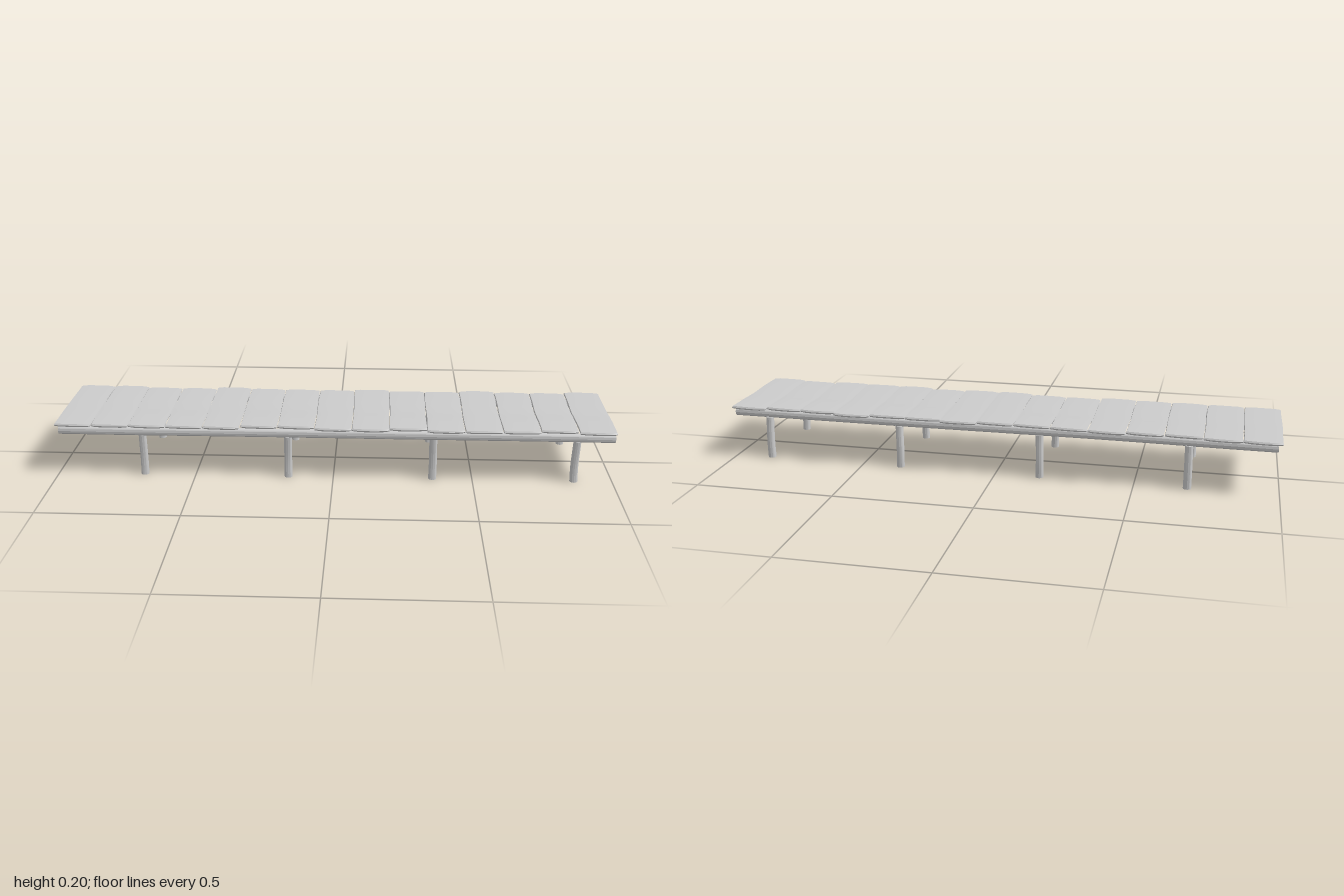
import * as THREE from 'three';
import { toCreasedNormals } from 'three/addons/utils/BufferGeometryUtils.js';

const material = new THREE.MeshStandardMaterial({ color: 0xcccccc });

// Small seeded generator for the hand-hewn irregularities, returns -1..1
function seeded(seed) {
  let s = seed;
  return () => {
    s = (s * 16807) % 2147483647;
    return (s / 2147483647) * 2 - 1;
  };
}

function warp(geometry, rule) {
  const p = geometry.attributes.position;
  const v = new THREE.Vector3();
  for (let i = 0; i < p.count; i++) {
    v.fromBufferAttribute(p, i);
    rule(v);
    p.setXYZ(i, v.x, v.y, v.z);
  }
  return toCreasedNormals(geometry, 0.7);
}

function addMesh(parent, name, geometry) {
  const mesh = new THREE.Mesh(geometry, material);
  mesh.name = name;
  parent.add(mesh);
  return mesh;
}

// Deck board: eased edges, softly rounded ends, worn dip in the middle
function plankGeometry(width, back, front, rand) {
  const thick = 0.011;
  const sag = 0.0035 + 0.002 * rand();
  const lift = 0.0006 * rand();
  const phase = 3 * rand();
  const geometry = new THREE.BoxGeometry(width, thick, 1, 6, 2, 8);
  return warp(geometry, (v) => {
    const u = v.x / (width / 2);
    const w = v.z * 2;
    const outer = Math.abs(v.y) > thick * 0.4;
    const sideEdge = Math.abs(u) > 0.99;
    const endEdge = Math.abs(w) > 0.99;
    v.z = THREE.MathUtils.lerp(back, front, v.z + 0.5);
    if (endEdge) {
      v.z -= Math.sign(w) * (0.006 * u ** 4 + (outer ? 0.003 : 0));
      v.z += 0.0015 * Math.sin(u * 2 + phase);
    }
    if (sideEdge) {
      v.x += 0.0012 * Math.sin(w * 4 + phase + u);
      if (outer) v.x -= Math.sign(u) * 0.002;
      if (outer) v.y *= 0.85;
    }
    v.y += lift - sag * Math.max(0, 1 - Math.abs(w) * 2);
  });
}

// Round beam along x with a faint waviness
function beamGeometry(length, radius, rand) {
  const phase = 3 * rand();
  const geometry = new THREE.CylinderGeometry(radius, radius, length, 12, 12);
  geometry.rotateZ(Math.PI / 2);
  return warp(geometry, (v) => {
    v.z += 0.0025 * Math.sin(v.x * 5 + phase);
    v.y += 0.0012 * Math.sin(v.x * 4 + phase * 2);
  });
}

// Round post, slightly bowed
function postGeometry(height, radius, rand) {
  const bowX = 0.002 * rand();
  const bowZ = -0.002 + 0.001 * rand();
  const geometry = new THREE.CylinderGeometry(radius * 0.97, radius, height, 12, 6);
  geometry.translate(0, height / 2, 0);
  return warp(geometry, (v) => {
    const bend = Math.sin((v.y / height) * Math.PI * 1.4);
    v.x += bowX * bend;
    v.z += bowZ * bend;
  });
}

export function createModel() {
  const model = new THREE.Group();
  model.name = 'boardwalk';
  const rand = seeded(4217);

  // Back and front end of each board
  const ends = [
    [-0.203, 0.199], [-0.203, 0.199], [-0.19, 0.199], [-0.19, 0.199], [-0.203, 0.202],
    [-0.194, 0.186], [-0.19, 0.186], [-0.19, 0.201], [-0.203, 0.199], [-0.192, 0.186],
    [-0.19, 0.201], [-0.203, 0.2], [-0.19, 0.2], [-0.19, 0.187], [-0.202, 0.201],
  ];
  const deck = new THREE.Group();
  deck.name = 'deck';
  const pitch = 2 / ends.length;
  ends.forEach(([back, front], i) => {
    const plank = addMesh(deck, `plank${i + 1}`, plankGeometry(pitch - 0.001, back, front, rand));
    plank.position.set(-1 + pitch * (i + 0.5), 0.1935, 0);
  });
  model.add(deck);

  // Two long beams, each carried by four posts
  const postX = [-0.686, -0.162, 0.357, 0.863];
  for (const [side, beamZ] of [['front', 0.177], ['back', -0.163]]) {
    const beam = addMesh(model, `${side}Beam`, beamGeometry(1.98, 0.016, rand));
    beam.position.set(0.005, 0.171, beamZ);
    postX.forEach((x, i) => {
      const post = addMesh(model, `${side}Post${i + 1}`, postGeometry(0.158, 0.0145, rand));
      post.position.set(x, 0, beamZ - 0.005 + 0.002 * rand());
    });
  }
  return model;
}
